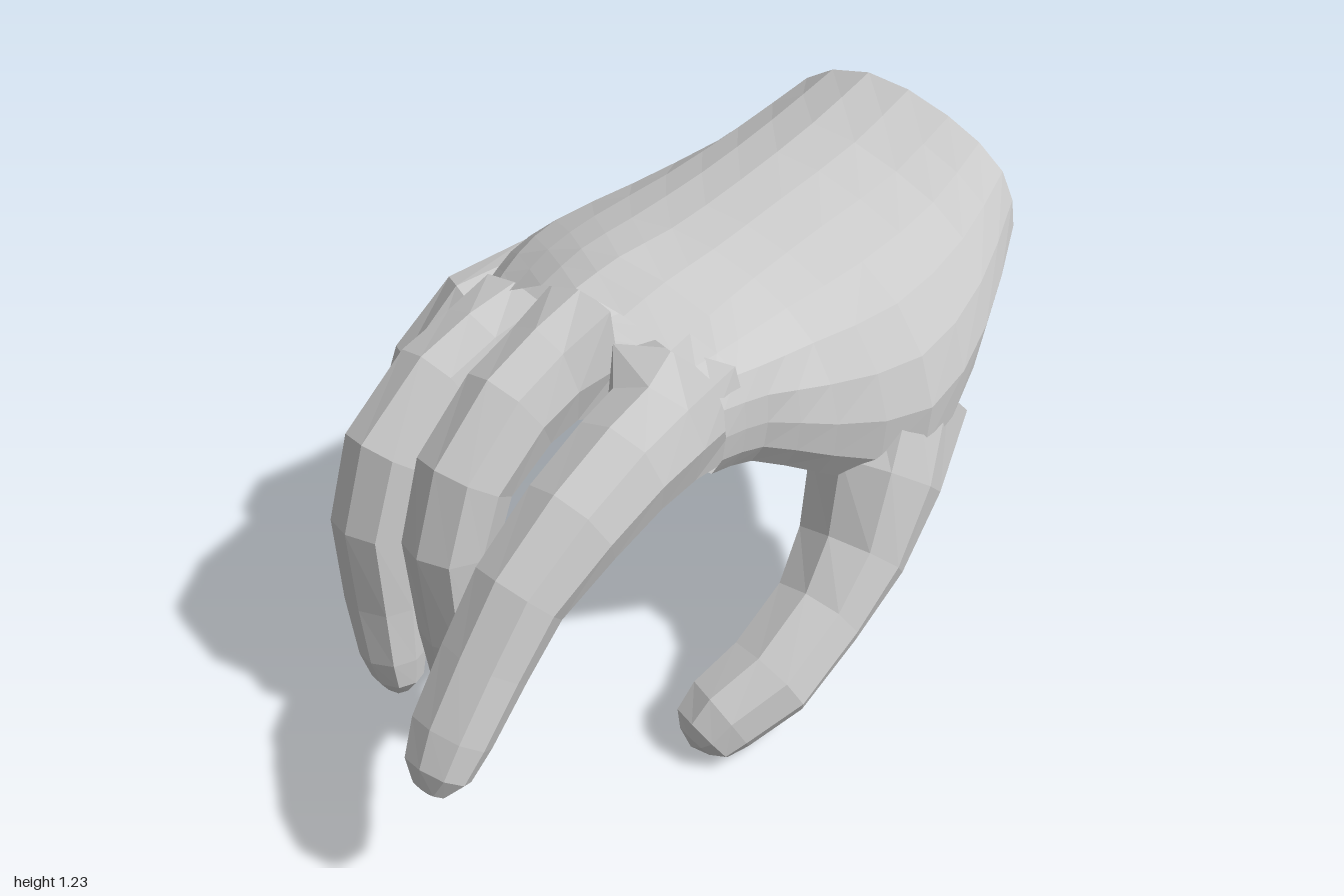
import * as THREE from 'three';

const material = new THREE.MeshStandardMaterial({ color: 0xcccccc, flatShading: true, side: THREE.DoubleSide });

// Skin a list of equal-sized rings; a tip point closes the far end with a fan
function loft(name, rings, tip) {
  const n = rings[0].length, positions = [], index = [];
  rings.forEach(r => r.forEach(p => positions.push(p.x, p.y, p.z)));
  const last = (rings.length - 1) * n;
  for (let i = 0; i < rings.length - 1; i++) {
    for (let j = 0; j < n; j++) {
      const a = i * n + j, b = i * n + (j + 1) % n;
      index.push(a, b, a + n, b, b + n, a + n);
    }
  }
  if (tip) {
    positions.push(tip.x, tip.y, tip.z);
    for (let j = 0; j < n; j++) index.push(last + j, last + (j + 1) % n, rings.length * n);
  }
  const geometry = new THREE.BufferGeometry();
  geometry.setAttribute('position', new THREE.Float32BufferAttribute(positions, 3));
  geometry.setIndex(index);
  geometry.computeVertexNormals();
  const mesh = new THREE.Mesh(geometry, material);
  mesh.name = name;
  return mesh;
}

// Finger along joints of [x, y, z, half width, half thickness]; the root is squarer to fill the palm's end
function finger(name, joints, sides = 8) {
  const pts = joints.map(j => new THREE.Vector3(j[0], j[1], j[2]));
  const tangent = new THREE.Vector3();
  const rings = joints.map(([, , , w, t], i) => {
    tangent.subVectors(pts[Math.min(i + 1, pts.length - 1)], pts[Math.max(i - 1, 0)]).normalize();
    const side = new THREE.Vector3(0, 0, 1).addScaledVector(tangent, -tangent.z).normalize();
    const up = new THREE.Vector3().crossVectors(tangent, side);
    const power = i === 0 ? 5 : 2.4;
    return Array.from({ length: sides }, (_, k) => {
      const c = Math.cos(k / sides * Math.PI * 2), s = Math.sin(k / sides * Math.PI * 2);
      const r = (Math.abs(c) ** power + Math.abs(s) ** power) ** (-1 / power);
      return pts[i].clone().addScaledVector(side, c * r * w).addScaledVector(up, s * r * t);
    });
  });
  const end = joints[joints.length - 1];
  return loft(name, rings, pts[pts.length - 1].clone().addScaledVector(tangent, end[4] * 0.4));
}

// Palm sections from wrist to knuckles: x, then [y, z] from thumb side over the back of the hand
const palmSections = [
  [0.93, [[.83, .38], [.95, .44], [1.10, .41], [1.20, .25], [1.24, 0], [1.15, -.22], [1.04, -.26], [.88, -.2], [.77, -.08], [.76, .15]]],
  [0.65, [[.60, .46], [.82, .54], [1.02, .45], [1.13, .25], [1.18, 0], [1.10, -.23], [.98, -.33], [.82, -.30], [.68, -.12], [.70, .2]]],
  [0.37, [[.52, .52], [.74, .58], [.97, .46], [1.09, .24], [1.13, 0], [1.07, -.23], [.93, -.42], [.74, -.40], [.64, -.18], [.75, .14]]],
  [0.12, [[.63, .45], [.78, .49], [.96, .41], [1.06, .24], [1.10, 0], [1.05, -.24], [.92, -.46], [.74, -.44], [.67, -.22], [.77, .1]]],
  [-0.06, [[.73, .39], [.85, .43], [.98, .40], [1.05, .26], [1.10, 0], [1.04, -.22], [.93, -.39], [.77, -.37], [.71, -.18], [.77, .12]]],
  [-0.20, [[.77, .39], [.88, .425], [1.0, .39], [1.03, .27], [1.08, 0], [1.0, -.2], [.93, -.32], [.79, -.32], [.74, -.13], [.76, .2]]],
];

// Curves along the hand and around each section give the rounded, faceted skin
function createPalm() {
  const control = palmSections.map(([x, ring], i) => ring.map(([y, z]) =>
    // The wrist opening leans back and towards the thumb side
    new THREE.Vector3(i === 0 ? x - 0.25 * (y - 1) - 0.1 * (z - 0.1) : x, y, z)));
  const columns = control[0].map((_, j) => new THREE.CatmullRomCurve3(control.map(ring => ring[j])).getPoints(10));
  const rings = columns[0].map((_, i) =>
    new THREE.CatmullRomCurve3(columns.map(column => column[i]), true).getPoints(20).slice(0, 20));
  return loft('palmAndWrist', rings);
}

const digits = {
  thumb: [[.48, .68, .42, .13, .2], [.34, .52, .465, .145, .2], [.23, .36, .485, .13, .145],
    [.09, .26, .495, .115, .105], [-.08, .165, .485, .115, .095], [-.2, .1, .44, .1, .09], [-.25, .065, .425, .085, .07], [-.27, .05, .42, .05, .04]],
  indexFinger: [[-.17, .895, .265, .16, .135], [-.29, .88, .305, .12, .13], [-.4, .86, .31, .115, .12], [-.55, .8, .31, .11, .11],
    [-.7, .7, .3, .1, .095], [-.8, .58, .295, .095, .085], [-.9, .46, .295, .09, .075], [-.95, .395, .3, .075, .06], [-.975, .36, .3, .04, .03]],
  middleFinger: [[-.17, .91, 0, .105, .165], [-.29, .9, -.01, .105, .13], [-.4, .86, -.015, .105, .12], [-.54, .75, -.02, .105, .105],
    [-.595, .6, -.02, .1, .1], [-.595, .37, -.01, .092, .085], [-.575, .2, -.005, .088, .082], [-.575, .11, -.005, .075, .065], [-.575, .075, -.005, .045, .04]],
  ringFinger: [[-.17, .87, -.215, .11, .135], [-.29, .865, -.225, .11, .115], [-.4, .83, -.235, .11, .11], [-.56, .72, -.24, .105, .1],
    [-.62, .56, -.242, .1, .09], [-.63, .36, -.225, .098, .078], [-.645, .22, -.195, .082, .068], [-.65, .16, -.18, .065, .052], [-.652, .13, -.18, .035, .03]],
  littleFinger: [[.1, .83, -.39, .08, .1], [-.08, .79, -.46, .09, .11], [-.19, .67, -.515, .085, .09],
    [-.25, .53, -.53, .08, .078], [-.262, .38, -.535, .082, .072], [-.255, .26, -.505, .073, .065], [-.245, .19, -.485, .06, .05], [-.24, .165, -.48, .03, .03]],
};

export function createModel() {
  const hand = new THREE.Group();
  hand.name = 'hand';
  hand.add(createPalm());
  for (const [name, joints] of Object.entries(digits)) hand.add(finger(name, joints));
  return hand;
}
